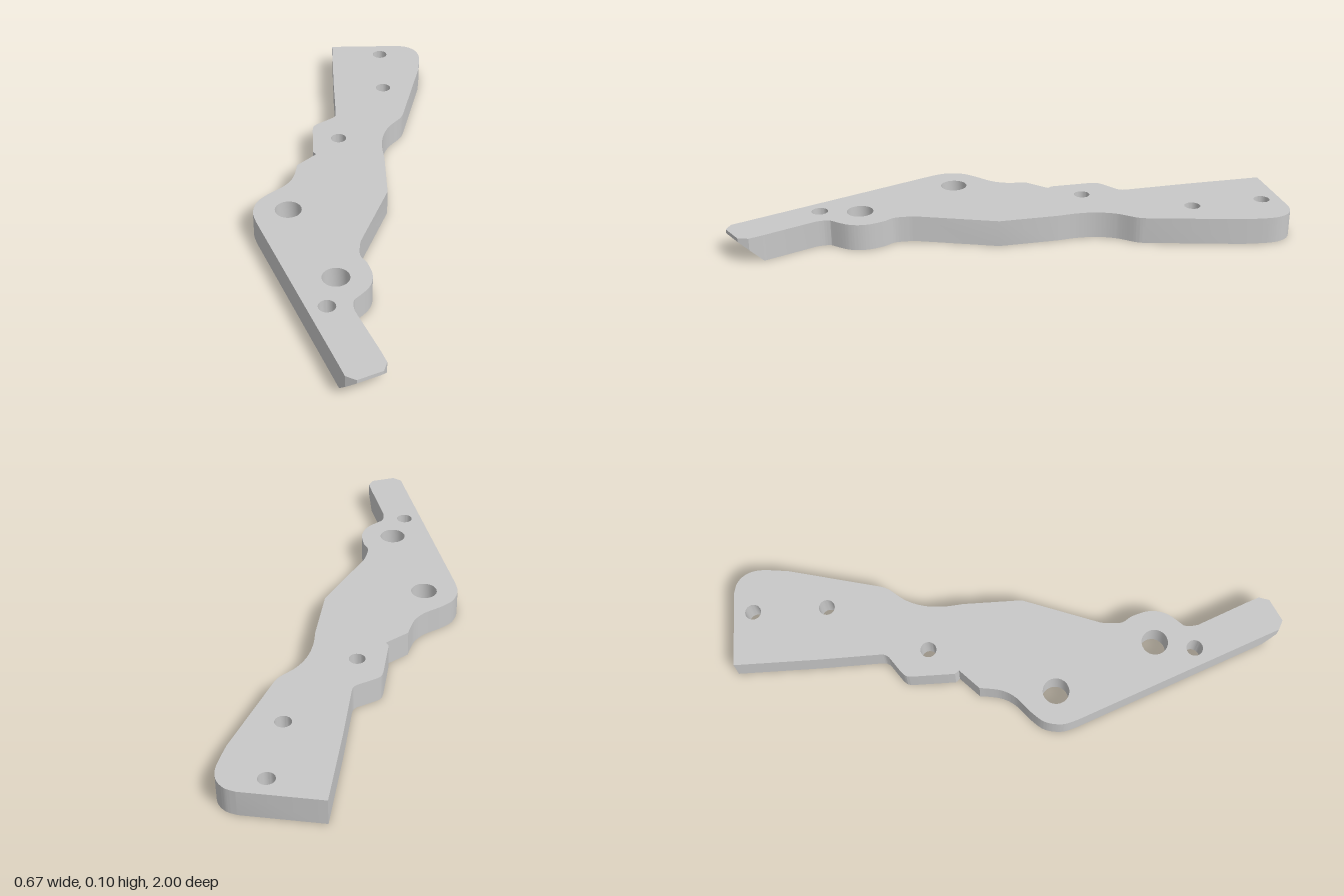
import * as THREE from 'three';
import { toCreasedNormals } from 'three/addons/utils/BufferGeometryUtils.js';
import { ConvexGeometry } from 'three/addons/geometries/ConvexGeometry.js';

const H = 0.097; // plate thickness

// Outline as [x, z]; nested lists are smooth curves through their points
const outline = [
  [0.25, -1],
  [[0.29, -0.988], [0.322, -0.955], [0.3345, -0.9], [0.324, -0.8]],
  [0.238, -0.46],
  [[0.224, -0.43], [0.177, -0.37], [0.151, -0.305], [0.143, -0.235], [0.148, -0.16]],
  [0.148, 0.055], [0.041, 0.335],
  [[0.036, 0.365], [0.036, 0.415], [0.058, 0.455], [0.073, 0.52], [0.058, 0.58], [0.008, 0.638]],
  [[0.004, 0.66], [0.007, 0.69]],
  [0.0815, 0.878], [-0.049, 0.936], // base of the tapered tip
  [-0.322, 0.22],
  [[-0.3345, 0.165], [-0.322, 0.105], [-0.285, 0.06], [-0.225, 0.008], [-0.195, -0.04], [-0.182, -0.1]],
  [-0.18, -0.12], [-0.108, -0.19], [-0.12, -0.205], [-0.12, -0.355],
  [[-0.116, -0.38], [-0.1, -0.398]],
  [-0.04, -0.44],
  [[-0.03, -0.455], [-0.028, -0.475]],
  [-0.032, -0.7],
];

// Bolt holes as [x, z, radius]
const holes = [
  [0.169, -0.93, 0.029], [0.169, -0.66, 0.029], [-0.021, -0.296, 0.029],
  [-0.21, 0.152, 0.048], [-0.049, 0.525, 0.048], [-0.081, 0.667, 0.03],
];

export function createModel() {
  const group = new THREE.Group();
  const metal = new THREE.MeshStandardMaterial({ color: 0xc8c8c8 });
  metal.name = 'light grey metal';

  // Plate with holes, drawn in plan and laid flat
  const shape = new THREE.Shape();
  shape.moveTo(-0.032, 1);
  for (const p of outline) {
    if (Array.isArray(p[0])) shape.splineThru(p.map(([x, z]) => new THREE.Vector2(x, -z)));
    else shape.lineTo(p[0], -p[1]);
  }
  shape.closePath();
  for (const [x, z, r] of holes) {
    // The outline runs clockwise, so the holes run the other way
    const hole = new THREE.Path();
    hole.absarc(x, -z, r, 0, Math.PI * 2, false);
    shape.holes.push(hole);
  }
  const plateGeo = new THREE.ExtrudeGeometry(shape, { depth: H, bevelEnabled: false, curveSegments: 12 });
  plateGeo.rotateX(-Math.PI / 2);
  const plate = new THREE.Mesh(toCreasedNormals(plateGeo, 0.5), metal);
  plate.name = 'bracketPlate';
  group.add(plate);

  // Tip, undercut by a sloping plane that rises towards the end
  const tip = [[0.0815, 0.878], [0.0985, 0.926], [0.0865, 0.963], [0.003, 1], [-0.032, 0.982], [-0.049, 0.936]];
  const points = [];
  for (const [x, z] of tip) {
    const under = Math.max(0, 1.04 * (0.407 * x + 0.914 * z - 0.8356));
    points.push(new THREE.Vector3(x, under, z), new THREE.Vector3(x, H, z));
  }
  const tipMesh = new THREE.Mesh(new ConvexGeometry(points), metal);
  tipMesh.name = 'undercutTip';
  group.add(tipMesh);

  return group;
}
